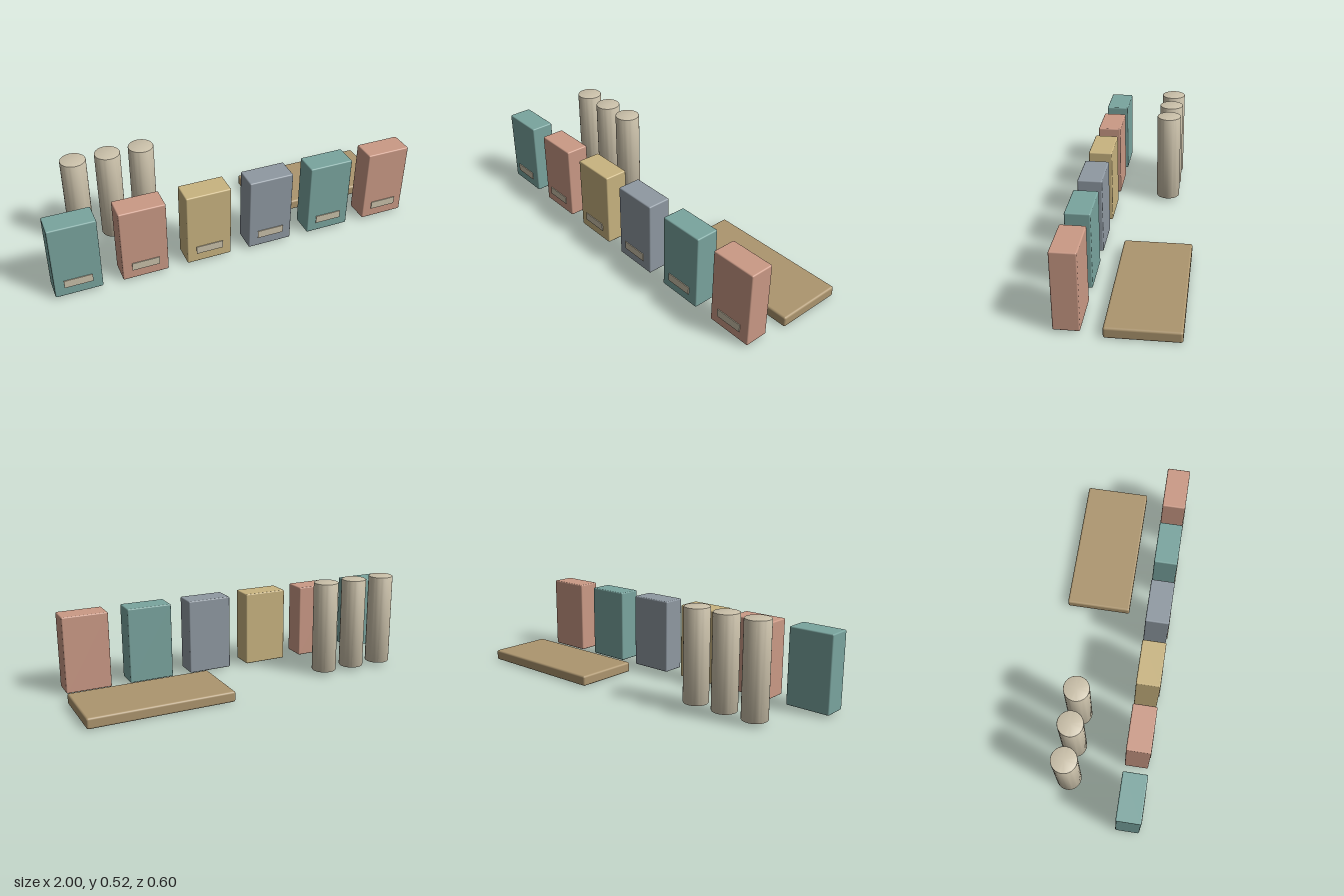
import * as THREE from 'three';
import { RoundedBoxGeometry } from 'three/addons/geometries/RoundedBoxGeometry.js';
import { toCreasedNormals } from 'three/addons/utils/BufferGeometryUtils.js';

function material(name, hex) {
  const m = new THREE.MeshStandardMaterial({ color: hex });
  m.name = name;
  return m;
}

export function createModel() {
  const group = new THREE.Group();
  const teal = material('teal', 0x7aa59f);
  const coral = material('coral', 0xcb9a86);
  const sand = material('sand', 0xc9b480);
  const slate = material('slate', 0x8f99a2);
  const cream = material('cream', 0xcbc1aa);
  const tan = material('tan', 0xad966f);

  function add(name, geometry, mat, x, y, z) {
    const mesh = new THREE.Mesh(geometry, mat);
    mesh.name = name;
    mesh.position.set(x, y, z);
    group.add(mesh);
  }

  // Row of six upright boxes, each with a thin label just off its front
  const boxGeometry = new RoundedBoxGeometry(0.243, 0.41, 0.127, 3, 0.007);
  const labelGeometry = new THREE.BoxGeometry(0.145, 0.043, 0.004);
  [teal, coral, sand, slate, teal, coral].forEach((colour, i) => {
    const x = -0.878 + i * 0.3465;
    add(`box${i + 1}`, boxGeometry, colour, x, 0.216, 0.2295);
    add(`label${i + 1}`, labelGeometry, cream, x, 0.0875, 0.298);
  });

  // Three upright rolls with softened rims
  const r = 0.067, h = 0.5, b = 0.004;
  const profile = [[0, 0], [r - b, 0], [r - b * 0.3, b * 0.3], [r, b],
    [r, h - b], [r - b * 0.3, h - b * 0.3], [r - b, h], [0, h]]
    .map(([x, y]) => new THREE.Vector2(x, y));
  const rollGeometry = toCreasedNormals(new THREE.LatheGeometry(profile, 40), 0.5);
  for (let i = 0; i < 3; i++) {
    add(`roll${i + 1}`, rollGeometry, cream, -0.765 + i * 0.18, 0.018, -0.12);
  }

  // Flat board lying behind the boxes
  add('board', new RoundedBoxGeometry(0.77, 0.057, 0.36, 4, 0.011), tan, 0.613, 0.0285, -0.119);

  return group;
}
